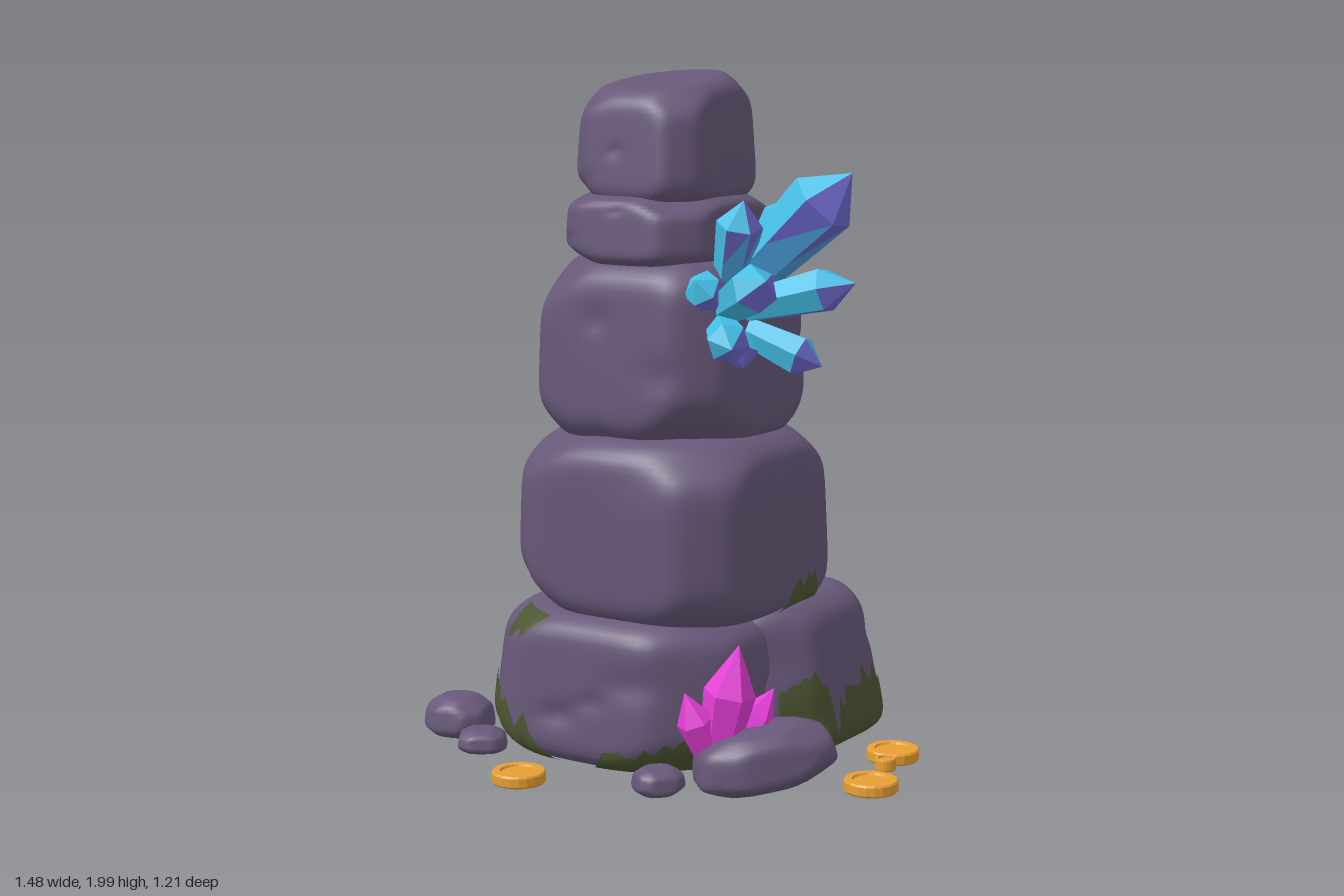
import * as THREE from 'three';
import { mergeGeometries, mergeVertices } from 'three/addons/utils/BufferGeometryUtils.js';

const mat = (name, color, side = THREE.FrontSide) => {
  const m = new THREE.MeshStandardMaterial({ color, side });
  m.name = name;
  return m;
};

// Small seeded random generator
function seeded(seed) {
  let s = seed * 7919 + 17;
  return () => {
    s = (s * 16807) % 2147483647;
    return s / 2147483647;
  };
}

// A stone is a box cut by softened chamfer planes, with a few dents, taper and lean.
// Returns a function from a direction to a surface point.
function stoneSurface(min, max, { seed = 1, taper = 1, lean = [0, 0], slope = 0, edge = 1.18, rim = 1.28, corner = 1.31, p = 26 } = {}) {
  const rnd = seeded(seed);
  for (let i = 0; i < 5; i++) rnd();
  const planes = [];
  for (let x = -1; x <= 1; x++) for (let y = -1; y <= 1; y++) for (let z = -1; z <= 1; z++) {
    const count = Math.abs(x) + Math.abs(y) + Math.abs(z);
    if (!count) continue;
    const n = new THREE.Vector3(x, y, z).normalize();
    let d = 1;
    if (count === 2) d = (y ? rim : edge) + (rnd() - 0.5) * 0.07;
    if (count === 3) d = corner + (rnd() - 0.5) * 0.14;
    planes.push({ n, d });
  }
  const dents = Array.from({ length: 9 }, () => ({
    n: new THREE.Vector3(rnd() - 0.5, (rnd() - 0.5) * 0.8, rnd() - 0.5).normalize(),
    depth: 0.015 + rnd() * 0.03,
    tight: 40 + rnd() * 160,
  }));
  const c = min.map((v, i) => (v + max[i]) / 2);
  const h = min.map((v, i) => (max[i] - v) / 2);
  return (dir, grow = 1) => {
    const d = dir.clone().normalize();
    let sum = 0;
    for (const q of planes) sum += Math.max(0, d.dot(q.n) / q.d) ** p;
    let r = sum ** (-1 / p);
    for (const q of dents) r -= q.depth * Math.exp((d.dot(q.n) - 1) * q.tight);
    d.multiplyScalar(r * grow);
    const k = (d.y + 1) / 2;
    const s = 1 + (taper - 1) * k;
    const z = d.z * h[2] * s;
    return new THREE.Vector3(
      c[0] + d.x * h[0] * s + lean[0] * k,
      c[1] + d.y * h[1] - slope * z * k,
      c[2] + z + lean[1] * k
    );
  };
}

function stoneGeometry(surface, seg) {
  let g = new THREE.BoxGeometry(2, 2, 2, seg, seg, seg);
  g.deleteAttribute('uv');
  g.deleteAttribute('normal');
  g = mergeVertices(g);
  const pos = g.attributes.position;
  const v = new THREE.Vector3();
  for (let i = 0; i < pos.count; i++) {
    const q = surface(v.fromBufferAttribute(pos, i));
    pos.setXYZ(i, q.x, q.y, q.z);
  }
  g.computeVertexNormals();
  return g;
}

// Moss skin that follows a stone between two angles, with a ragged edge
function mossGeometry(surface, a0, a1, anchor, edge, seed, jag) {
  const rnd = seeded(seed);
  const cols = Math.max(10, Math.round(Math.abs(a1 - a0) * 18));
  const rows = 8;
  const pts = [], idx = [];
  for (let i = 0; i <= cols; i++) {
    const u = i / cols;
    const a = a0 + (a1 - a0) * u;
    const fade = Math.min(1, i * 0.4 + 0.2, (cols - i) * 0.4 + 0.2);
    const wave = Math.sin(a * 5 + seed) * jag + (rnd() - 0.5) * 1.6 * jag;
    const span = (edge - anchor + wave) * fade;
    for (let j = 0; j <= rows; j++) {
      const q = surface(new THREE.Vector3(Math.cos(a), anchor + span * j / rows, Math.sin(a)), 1.016);
      pts.push(q.x, q.y, q.z);
      if (i < cols && j < rows) {
        const k = i * (rows + 1) + j;
        idx.push(k, k + 1, k + rows + 1, k + 1, k + rows + 2, k + rows + 1);
      }
    }
  }
  // Patches that hang downwards run the other way round
  if (edge < anchor) idx.reverse();
  const g = new THREE.BufferGeometry();
  g.setAttribute('position', new THREE.Float32BufferAttribute(pts, 3));
  g.setIndex(idx);
  g.computeVertexNormals();
  return g;
}

// Six-sided crystal widening to a shoulder, then a point
function crystalGeometry(base, tip, r, shoulder) {
  const a = new THREE.Vector3(...base);
  const axis = new THREE.Vector3(...tip).sub(a);
  const len = axis.length();
  const shaft = new THREE.CylinderGeometry(r, r * 0.68, len * shoulder, 6, 2, true).translate(0, len * shoulder / 2, 0);
  const point = new THREE.ConeGeometry(r, len * (1 - shoulder), 6, 1, true).translate(0, len * (1 + shoulder) / 2, 0);
  const g = mergeGeometries([shaft, point]).toNonIndexed();
  g.applyQuaternion(new THREE.Quaternion().setFromUnitVectors(new THREE.Vector3(0, 1, 0), axis.normalize()));
  g.translate(a.x, a.y, a.z);
  g.computeVertexNormals();
  return g;
}

export function createModel() {
  const model = new THREE.Group();
  const rock = mat('purple stone', 0x675878);
  const moss = mat('moss', 0x4d5632, THREE.DoubleSide);
  const cyan = mat('cyan crystal', 0x44c0e8);
  const blue = mat('blue crystal', 0x4ca4e0);
  const violet = mat('violet crystal', 0x706ad0);
  const pink = mat('magenta crystal', 0xf042e2);
  const gold = mat('gold', 0xe8a034);
  const add = (name, geometry, material, parent = model) => {
    const m = new THREE.Mesh(geometry, material);
    m.name = name;
    parent.add(m);
    return m;
  };

  // Stacked stones, bottom to top
  const stones = [
    ['baseFrontStone', [-0.585, 0.01, -0.57], [0.32, 0.47, 0.38], { seed: 3, taper: 0.86, lean: [0.02, 0.05], edge: 1.12, rim: 1.25 }],
    ['baseBackStone', [-0.21, 0.015, -0.62], [0.44, 0.475, 0.06], { seed: 8, taper: 0.86, lean: [-0.03, 0.03], edge: 1.09, rim: 1.25 }],
    ['lowerStone', [-0.475, 0.43, -0.46], [0.32, 0.975, 0.33], { seed: 5, taper: 0.95, lean: [0.015, 0.03] }],
    ['middleStone', [-0.395, 0.94, -0.37], [0.262, 1.475, 0.285], { seed: 12, taper: 0.94, lean: [0, 0.005] }],
    ['collarStone', [-0.315, 1.44, -0.325], [0.18, 1.66, 0.265], { seed: 21, taper: 0.95, edge: 1.15, rim: 1.22, corner: 1.25 }],
    ['topStone', [-0.28, 1.62, -0.26], [0.15, 1.975, 0.22], { seed: 30, taper: 0.9, slope: 0.15 }],
  ];
  const surf = {};
  for (const [name, lo, hi, opt] of stones) {
    surf[name] = stoneSurface(lo, hi, opt);
    add(name, stoneGeometry(surf[name], 24), rock);
  }

  // Moss: stone, start and end angle (in half turns), anchor height, ragged height, raggedness
  const mossy = [
    ['baseFrontStone', 0.57, 1.55, -1.1, -0.28, 2, 0.17],
    ['baseFrontStone', 0.2, 0.46, -1.1, -0.56, 4, 0.1],
    ['baseFrontStone', 0.61, 0.76, 0.95, 0.64, 6, 0.09],
    ['baseBackStone', -0.78, 0.1, -1.1, -0.24, 9, 0.17],
    ['baseBackStone', 0.08, 0.3, -1.1, -0.05, 5, 0.12],
    ['lowerStone', -0.15, 0.01, -1, -0.56, 11, 0.1],
  ];
  for (const [name, a0, a1, lo, hi, seed, jag] of mossy)
    add('moss', mossGeometry(surf[name], a0 * Math.PI, a1 * Math.PI, lo, hi, seed, jag), moss);

  // Loose rocks: position, half sizes, turn, tilt
  const loose = [
    [0.4, 0.108, 0.2, 0.21, 0.085, 0.135, 0.85, 0.13],
    [-0.64, 0.077, 0.25, 0.105, 0.06, 0.1, 0.2, 0],
    [-0.48, 0.047, 0.345, 0.075, 0.035, 0.072, 0.6, 0],
    [0.18, 0.05, 0.4, 0.075, 0.038, 0.07, 0.9, 0],
  ];
  loose.forEach(([x, y, z, a, b, c, turn, tilt], i) => {
    const s = stoneSurface([-a, -b, -c], [a, b, c], { seed: 40 + i, taper: 0.85, edge: 1.08, rim: 1.14, corner: 1.14 });
    const m = add('looseRock', stoneGeometry(s, 12), rock);
    m.position.set(x, y, z);
    m.rotation.set(0, turn, tilt);
  });

  // Cyan crystal cluster: tip position and radius
  const cluster = new THREE.Group();
  cluster.name = 'cyanCrystals';
  model.add(cluster);
  const root = new THREE.Vector3(0.2, 1.31, 0.05);
  const tips = [
    [0.54, 1.72, -0.02, 0.1], [0.29, 1.645, 0.14, 0.066], [0.28, 1.645, -0.18, 0.07],
    [0.56, 1.42, -0.01, 0.066], [0.43, 1.44, 0.25, 0.07], [0.45, 1.18, -0.02, 0.06],
    [0.2, 1.43, 0.25, 0.056], [0.28, 1.18, 0.12, 0.054], [0.34, 1.25, 0.28, 0.06],
  ];
  const center = new THREE.Vector3();
  for (const [x, y, z, r] of tips) {
    const base = [root.x, root.y + (y - root.y) * 0.2, root.z + (z - root.z) * 0.3];
    const g = crystalGeometry(base, [x, y, z], r, 0.75);
    const { position, normal } = g.attributes;
    const reach = root.distanceTo(new THREE.Vector3(x, y, z));
    // Outward and under faces turn blue, then violet near the point
    for (let i = 0; i < position.count; i += 3) {
      center.set(0, 0, 0);
      for (let k = i; k < i + 3; k++)
        center.add(new THREE.Vector3().fromBufferAttribute(position, k).divideScalar(3));
      const tint = 0.8 * normal.getX(i) - 0.5 * normal.getY(i) + 0.1 * normal.getZ(i);
      const outer = center.distanceTo(root) > reach * 0.62;
      g.addGroup(i, 3, tint < 0.45 ? 0 : outer ? 2 : 1);
    }
    add('cyanCrystal', g, [cyan, blue, violet], cluster);
  }

  // Magenta crystals behind the large loose rock
  for (const [base, tip, r] of [
    [[0.29, 0.1, 0.27], [0.355, 0.43, 0.26], 0.074],
    [[0.28, 0.1, 0.29], [0.24, 0.3, 0.36], 0.054],
    [[0.32, 0.1, 0.24], [0.385, 0.28, 0.12], 0.054],
  ]) add('magentaCrystal', crystalGeometry(base, tip, r, 0.58), pink);

  // Coins with a raised rim
  const coinProfile = [[0, 0.37], [0.66, 0.37], [0.7, 0.45], [0.95, 0.45], [1, 0.38], [1, 0.06], [0.95, 0], [0, 0]]
    .map(([x, y]) => new THREE.Vector2(x, y)).reverse();
  for (const [x, z, r] of [[0.57, -0.245, 0.077], [0.6, -0.143, 0.031], [0.66, 0.052, 0.077], [-0.21, 0.525, 0.077]]) {
    const g = new THREE.LatheGeometry(coinProfile, 20).toNonIndexed();
    g.scale(r, 0.077, r);
    g.computeVertexNormals();
    add('coin', g, gold).position.set(x, 0.012, z);
  }
  return model;
}
